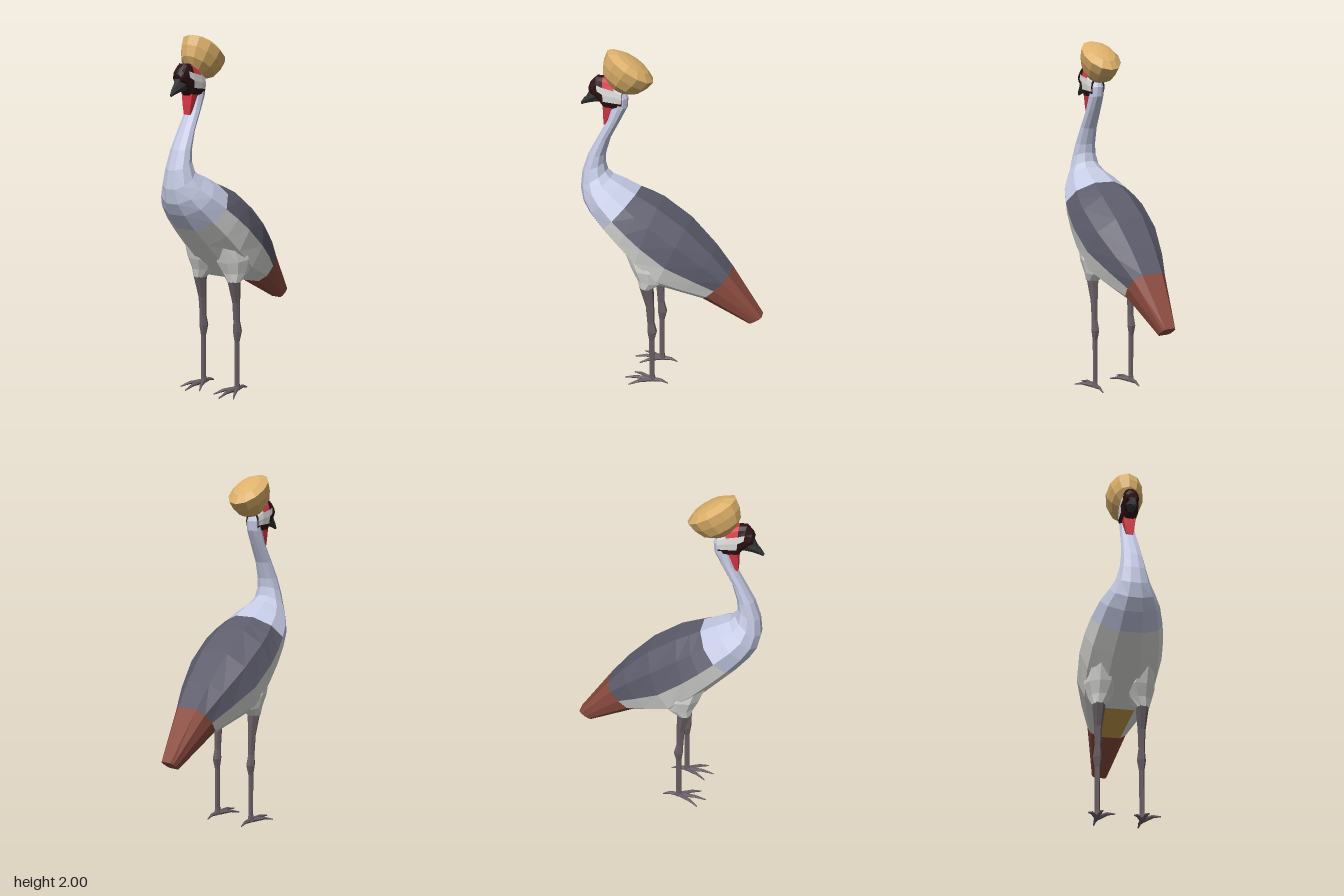
import * as THREE from 'three';

const mat = (name, color) => {
  const m = new THREE.MeshStandardMaterial({ color, flatShading: true });
  m.name = name;
  return m;
};

// Joins rings into a closed skin.
// Station: [topZ, topY, bottomZ, bottomY, halfWidth, centreX, power]; a power below 1 squares the ring.
// pick(segment, side) gives the index of the material for each face.
function loft(name, stations, materials, sides = 10, pick = () => 0) {
  const rings = stations.map(([tz, ty, bz, by, w, x = 0, power = 1]) => {
    const ring = [];
    for (let j = 0; j < sides; j++) {
      const a = ((j + 0.5) / sides) * Math.PI * 2;
      const s = Math.sin(a);
      const k = Math.cos(a) / Math.cos(Math.PI / sides) / 2;
      ring.push([
        x + w * Math.sign(s) * Math.abs(s) ** power,
        (ty + by) / 2 + (ty - by) * k,
        (tz + bz) / 2 + (tz - bz) * k,
      ]);
    }
    return ring;
  });
  const faces = materials.map(() => []);
  const last = rings.length - 1;
  for (let i = 0; i < last; i++) {
    for (let j = 0; j < sides; j++) {
      const n = (j + 1) % sides;
      const a = rings[i][j], b = rings[i + 1][j], c = rings[i + 1][n], d = rings[i][n];
      faces[pick(i, j)].push(...a, ...b, ...c, ...a, ...c, ...d);
    }
  }
  // End caps
  for (let j = 1; j < sides - 1; j++) {
    faces[pick(0, 0)].push(...rings[0][0], ...rings[0][j], ...rings[0][j + 1]);
    faces[pick(last - 1, 0)].push(...rings[last][0], ...rings[last][j + 1], ...rings[last][j]);
  }
  const geo = new THREE.BufferGeometry();
  geo.setAttribute('position', new THREE.Float32BufferAttribute(faces.flat(), 3));
  let start = 0;
  faces.forEach((f, i) => {
    geo.addGroup(start, f.length / 3, i);
    start += f.length / 3;
  });
  geo.computeVertexNormals();
  const mesh = new THREE.Mesh(geo, materials);
  mesh.name = name;
  return mesh;
}

export function createModel() {
  const lavender = mat('lavender neck', 0xc4cae4);
  const pale = mat('pale grey', 0xdededc);
  const slate = mat('slate wing', 0x5d5c6c);
  const rust = mat('rust tail', 0x8c4c40);
  const gold = mat('gold crest', 0xdcb06a);
  const red = mat('red skin', 0xd83644);
  const maroon = mat('dark maroon', 0x2c1214);
  const black = mat('beak black', 0x343434);
  const legGrey = mat('leg grey', 0x695f64);
  const olive = mat('olive underside', 0xcc9e4c);

  const model = new THREE.Group();
  model.name = 'crane';

  // Tail, body and neck in one skin, from tail tip to nape
  model.add(loft('body', [
    [-0.53, 0.48, -0.46, 0.43, 0.042, 0, 0.3],
    [-0.34, 0.745, -0.19, 0.58, 0.112, 0, 0.5],
    [-0.24, 0.87, -0.06, 0.61, 0.167, 0, 0.7],
    [-0.09, 1.02, 0.08, 0.645, 0.221, 0, 0.8],
    [0.07, 1.13, 0.2, 0.755, 0.232, 0, 0.85],
    [0.14, 1.163, 0.305, 0.862, 0.221, 0, 0.9],
    [0.2, 1.19, 0.402, 0.958, 0.2],
    [0.29, 1.235, 0.475, 1.045, 0.166],
    [0.355, 1.263, 0.515, 1.11, 0.126],
    [0.385, 1.295, 0.531, 1.19, 0.093],
    [0.395, 1.345, 0.52, 1.29, 0.073],
    [0.39, 1.395, 0.483, 1.395, 0.062],
    [0.36, 1.49, 0.425, 1.5, 0.052],
    [0.3, 1.6, 0.368, 1.6, 0.045],
    [0.258, 1.68, 0.345, 1.67, 0.042],
    [0.253, 1.735, 0.335, 1.72, 0.041],
    [0.275, 1.785, 0.33, 1.77, 0.03],
  ], [lavender, slate, pale, rust, olive], 10, (i, j) => {
    if (i === 0) return 3;
    if (i >= 6) return 0;
    if (j <= 1 || j >= 7) return 1;
    return j === 4 && i < 3 ? 4 : 2;
  }));

  // Head with pale cheeks and a red band below the crest
  model.add(loft('head', [
    [0.275, 1.79, 0.28, 1.675, 0.044, 0, 0.7],
    [0.325, 1.825, 0.305, 1.668, 0.051, 0, 0.6],
    [0.385, 1.845, 0.38, 1.668, 0.051, 0, 0.6],
    [0.425, 1.847, 0.405, 1.7, 0.046, 0, 0.7],
    [0.457, 1.818, 0.445, 1.735, 0.039],
    [0.47, 1.79, 0.46, 1.745, 0.028],
  ], [maroon, pale, red], 14, (i, j) => {
    const row = Math.min(j, Math.abs(12 - j));
    if (i < 2 && (row === 2 || row === 3)) return 1;
    if (i === 0 && row === 1) return 1;
    if (i === 2 && row === 2) return 1;
    return i === 1 && row <= 1 ? 2 : 0;
  }));
  model.add(loft('beak', [
    [0.464, 1.768, 0.4, 1.705, 0.032],
    [0.482, 1.735, 0.455, 1.698, 0.024],
    [0.505, 1.712, 0.495, 1.685, 0.014],
    [0.522, 1.687, 0.516, 1.675, 0.005],
  ], [black], 6));
  // Four-sided throat wattle
  model.add(loft('wattle', [
    [0.375, 1.575, 0.388, 1.575, 0.028],
    [0.355, 1.63, 0.388, 1.63, 0.04],
    [0.335, 1.685, 0.386, 1.685, 0.05],
  ], [red], 4));

  // Fan crest leaning back
  const profile = [[0, -0.01], [0.045, -0.006], [0.115, 0.046], [0.14, 0.1], [0.149, 0.153], [0.1, 0.18], [0.05, 0.19], [0, 0.193]];
  const crest = new THREE.Mesh(
    new THREE.LatheGeometry(profile.map(([r, h]) => new THREE.Vector2(r, h)), 12), gold);
  crest.name = 'crest';
  crest.scale.x = 0.73;
  crest.rotation.x = -0.57;
  crest.position.set(0, 1.786, 0.318);
  model.add(crest);

  for (const side of [1, -1]) {
    const leg = new THREE.Group();
    leg.name = side > 0 ? 'leftLeg' : 'rightLeg';
    leg.position.x = 0.12 * side;
    // Feathered thigh, following the slope of the belly into the flank
    leg.add(loft('thigh', [
      [0.09, 0.64, 0.165, 0.64, 0.038],
      [0.015, 0.69, 0.18, 0.69, 0.068, -0.012 * side],
      [-0.02, 0.78, 0.212, 0.755, 0.1, -0.022 * side],
      [0.02, 0.92, 0.25, 0.86, 0.085, -0.015 * side],
    ], [pale], 10));
    // Shank with a knobbly joint
    leg.add(loft('shank', [
      [0.078, 0.01, 0.118, 0.01, 0.018],
      [0.085, 0.05, 0.113, 0.05, 0.014],
      [0.084, 0.29, 0.113, 0.29, 0.015],
      [0.07, 0.35, 0.121, 0.35, 0.025],
      [0.084, 0.41, 0.122, 0.41, 0.018],
      [0.085, 0.52, 0.13, 0.52, 0.022],
      [0.09, 0.645, 0.164, 0.645, 0.037],
    ], [legGrey], 6));
    // Three front toes and one behind
    for (const [angle, length] of [[0, 0.17], [0.5, 0.145], [-0.5, 0.145], [Math.PI, 0.095]]) {
      const toe = loft('toe', [
        [0, 0.03, 0, 0.004, 0.012],
        [length * 0.6, 0.026, length * 0.6, 0.01, 0.009],
        [length, 0.006, length, 0, 0.003],
      ], [legGrey], 6);
      toe.rotation.y = angle;
      toe.position.z = 0.098;
      leg.add(toe);
    }
    model.add(leg);
  }
  return model;
}
